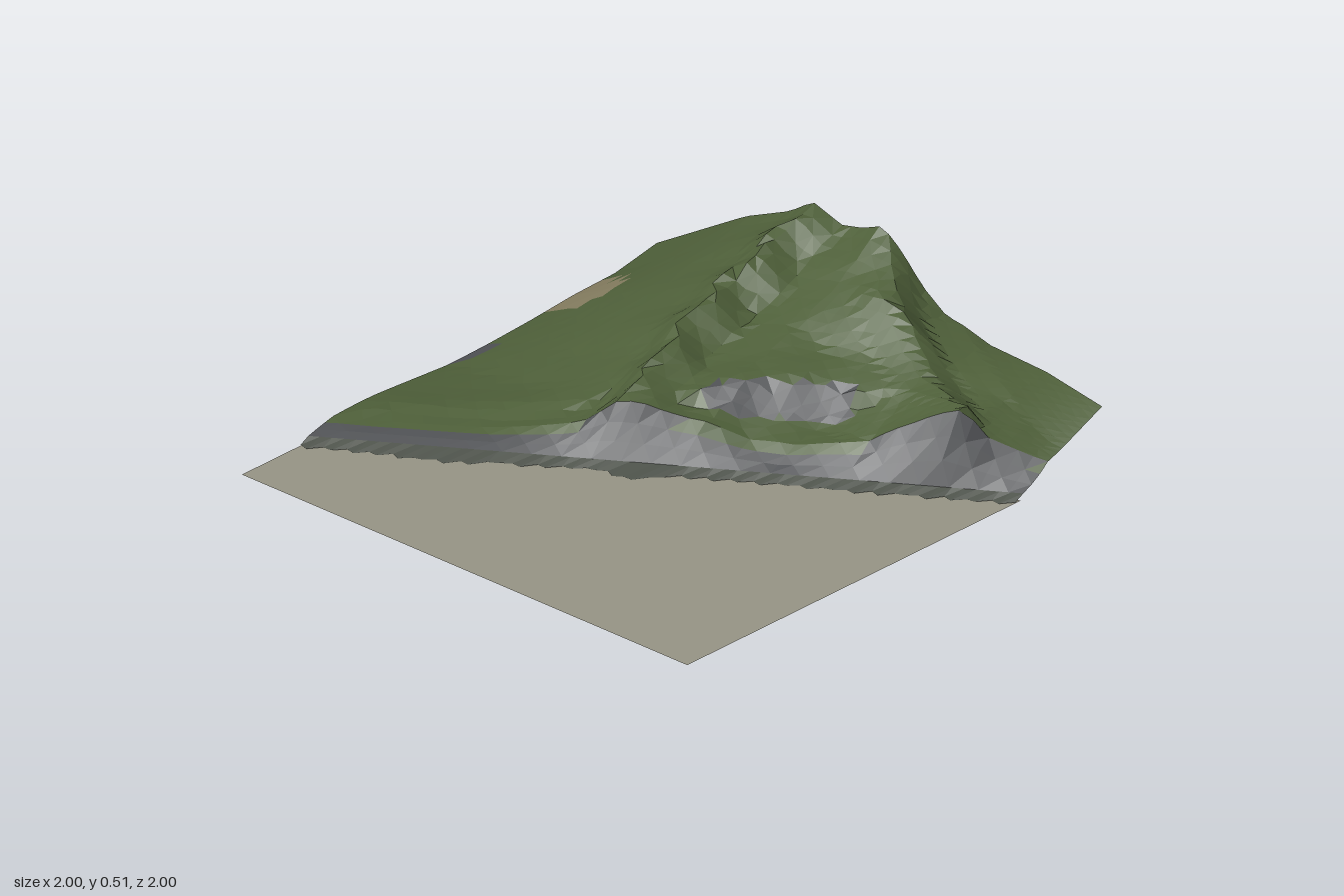
import * as THREE from 'three';

// Control heights of the hillside: one row per z, one column per x
const XS = [-0.6, -0.3, 0, 0.2, 0.4, 0.6, 0.8, 1];
const HEIGHTS = [
  [-1.00, [0.05, 0.05, 0.03, 0.035, 0.045, 0.06, 0.065, 0.10]],
  [-0.80, [0.06, 0.055, 0.055, 0.08, 0.11, 0.15, 0.18, 0.22]],
  [-0.60, [0.06, 0.06, 0.08, 0.12, 0.18, 0.24, 0.29, 0.34]],
  [-0.40, [0.06, 0.07, 0.13, 0.19, 0.26, 0.32, 0.38, 0.43]],
  [-0.30, [0.06, 0.10, 0.21, 0.27, 0.33, 0.38, 0.45, 0.50]],
  [-0.17, [0.06, 0.10, 0.17, 0.18, 0.23, 0.28, 0.36, 0.46]],
  [0.00, [0.06, 0.08, 0.13, 0.18, 0.23, 0.29, 0.38, 0.50]],
  [0.15, [0.05, 0.06, 0.09, 0.10, 0.20, 0.26, 0.39, 0.42]],
  [0.30, [0.05, 0.05, 0.06, 0.06, 0.12, 0.23, 0.35, 0.30]],
  [0.50, [0.05, 0.05, 0.06, 0.08, 0.11, 0.22, 0.27, 0.25]],
  [0.75, [0.05, 0.05, 0.10, 0.20, 0.23, 0.24, 0.21, 0.24]],
  [1.00, [0.03, 0.03, 0.04, 0.05, 0.05, 0.05, 0.115, 0.20]],
];
const ZS = HEIGHTS.map((row) => row[0]);

// Steep steps in the ground: [path of x, z points, step height]; the right-hand side (seen from above) is low
const OUTCROP = [[0.21, 0], [0.34, 0.13], [0.48, 0.31]];
const SCARPS = [
  [[[0.48, 0.31], [0.34, 0.13], [0.21, 0]], -0.025],
  [[[-0.06, -0.43], [-0.22, -0.62], [-0.42, -0.88]], -0.01],
  [[[1.02, 0.1], [0.85, 0.28], [0.76, 0.48], [0.65, 0.72]], -0.025],
];
const FOOT_HEIGHT = 0.022;

const clamp = THREE.MathUtils.clamp;
const lerp = THREE.MathUtils.lerp;
const cliffFoot = (z) => -0.04 + 0.65 * z;

let seed = 7;
const rand = () => {
  seed = (seed * 16807) % 2147483647;
  return seed / 2147483647;
};

// Cell index and fraction of v in a rising list
function locate(list, v) {
  let i = 0;
  while (i < list.length - 2 && v > list[i + 1]) i++;
  return [i, clamp((v - list[i]) / (list[i + 1] - list[i]), 0, 1)];
}

// Distance from (x, z) to a path, and which side it lies on
function pathDistance(path, x, z) {
  let best = { distance: Infinity, side: 0 };
  for (let i = 0; i < path.length - 1; i++) {
    const [ax, az] = path[i];
    const dx = path[i + 1][0] - ax, dz = path[i + 1][1] - az;
    const t = clamp(((x - ax) * dx + (z - az) * dz) / (dx * dx + dz * dz), 0, 1);
    const distance = Math.hypot(x - ax - t * dx, z - az - t * dz);
    if (distance < best.distance) best = { distance, side: Math.sign(dx * (z - az) - dz * (x - ax)) };
  }
  return best;
}

function height(x, z) {
  // The main ridge swings forward towards the cliff and wavers along its crest
  const swing = 0.1 * (1 - clamp(x / 0.45, 0, 1)) + 0.022 * Math.sin(x * 27 + 1.2) * clamp(x * 3, 0, 1);
  const bend = swing * clamp(1.3 - Math.abs(z + 0.2) / 0.3, 0, 1);
  const [i, fx] = locate(XS, x);
  const [k, fz] = locate(ZS, z - bend);
  const a = HEIGHTS[k][1], b = HEIGHTS[k + 1][1];
  let h = lerp(lerp(a[i], a[i + 1], fx), lerp(b[i], b[i + 1], fx), fz);
  for (const [path, step] of SCARPS) {
    const { distance, side } = pathDistance(path, x, z);
    h -= side * step * Math.min(distance / 0.045, clamp(1.35 - distance / 0.13, 0, 1));
  }
  return lerp(FOOT_HEIGHT, Math.max(h, FOOT_HEIGHT), Math.pow(clamp((x - cliffFoot(z) - 0.01) / 0.12, 0, 1), 0.9));
}

// Bare rock shows on the cliff, higher up where the cliff is tall, and on the outcrop
function surface(x, z, column) {
  const tall = Math.abs(z - 0.74) < 0.24 || Math.abs(z + 0.16) < 0.14;
  if (column < (tall ? 3 : 2) || pathDistance(OUTCROP, x, z).distance < 0.045) return 'rock';
  if (z < -0.84 && Math.abs(x - 0.6) < 0.14 * clamp((-0.8 - z) / 0.12, 0, 1)) return 'bareEarth';
  if (z < -0.96 && Math.abs(x - 0.11) < 0.08) return 'rock';
  return 'grass';
}

function facetedMesh(name, positions, color) {
  const geometry = new THREE.BufferGeometry();
  geometry.setAttribute('position', new THREE.Float32BufferAttribute(positions, 3));
  geometry.computeVertexNormals();
  const material = new THREE.MeshStandardMaterial({ color, side: THREE.DoubleSide, flatShading: true });
  const mesh = new THREE.Mesh(geometry, material);
  mesh.name = name;
  return mesh;
}

// Hillside grid: narrow columns up the cliff, wider ones to the far edge
function buildHill() {
  const rows = 48, columns = 26;
  const grid = [];
  for (let i = 0; i <= rows; i++) {
    grid.push([]);
    for (let j = 0; j <= columns; j++) {
      let z = -1 + (2 * i) / rows;
      const foot = cliffFoot(z) + 0.01;
      let x = j <= 3 ? foot + 0.04 * j : lerp(foot + 0.12, 1, (j - 3) / (columns - 3));
      const inside = i > 0 && i < rows && j > 3 && j < columns;
      if (inside) {
        x += (rand() - 0.5) * 0.012;
        z += (rand() - 0.5) * 0.016;
      }
      grid[i].push([x, height(x, z), z]);
    }
  }
  const faces = { grass: [], rock: [], bareEarth: [] };
  for (let i = 0; i < rows; i++) {
    for (let j = 0; j < columns; j++) {
      const a = grid[i][j], b = grid[i + 1][j], c = grid[i + 1][j + 1], d = grid[i][j + 1];
      const triangles = (i + j) % 2 ? [[a, b, c], [a, c, d]] : [[a, b, d], [b, c, d]];
      for (const t of triangles) {
        const x = (t[0][0] + t[1][0] + t[2][0]) / 3;
        const z = (t[0][2] + t[1][2] + t[2][2]) / 3;
        faces[surface(x, z, j)].push(...t.flat());
      }
    }
  }
  const hill = new THREE.Group();
  hill.name = 'hillside';
  hill.add(
    facetedMesh('grass', faces.grass, 0x4e5f39),
    facetedMesh('rockFace', faces.rock, 0x4e5053),
    facetedMesh('bareEarth', faces.bareEarth, 0x857d60),
  );
  return hill;
}

// Ragged rubble spilling from the cliff foot onto the flat ground
function buildRubble() {
  const count = 60, points = [];
  const top = (z) => [cliffFoot(z) + 0.01, FOOT_HEIGHT, z];
  const toes = Array.from({ length: count + 1 }, (_, i) => {
    const z = -1 + (2 * i) / count;
    const bulge = 0.05 * Math.exp(-(((z + 0.04) / 0.06) ** 2)) + 0.03 * Math.exp(-(((z + 0.6) / 0.15) ** 2));
    const reach = 0.025 + bulge + (i % 2 ? 0.012 + rand() * 0.025 : rand() * 0.012);
    return [cliffFoot(z) - reach, 0.003, z];
  });
  for (let i = 0; i < count; i++) {
    const a = toes[i], b = toes[i + 1], c = top(b[2]), d = top(a[2]);
    points.push(...a, ...b, ...c, ...a, ...c, ...d);
  }
  return facetedMesh('rubble', points, 0x4d524a);
}

// Flat ground ending at the cliff foot
function buildGround() {
  const outline = [[-1, -1], [-1, 1], [cliffFoot(1), 1], [cliffFoot(-1), -1]].map(([x, z]) => new THREE.Vector2(x, -z));
  const geometry = new THREE.ShapeGeometry(new THREE.Shape(outline)).rotateX(-Math.PI / 2);
  const mesh = new THREE.Mesh(geometry, new THREE.MeshStandardMaterial({ color: 0x989686, side: THREE.DoubleSide }));
  mesh.name = 'flatGround';
  return mesh;
}

export function createModel() {
  seed = 7;
  const model = new THREE.Group();
  model.name = 'cliffTerrain';
  model.add(buildGround(), buildHill(), buildRubble());
  return model;
}
